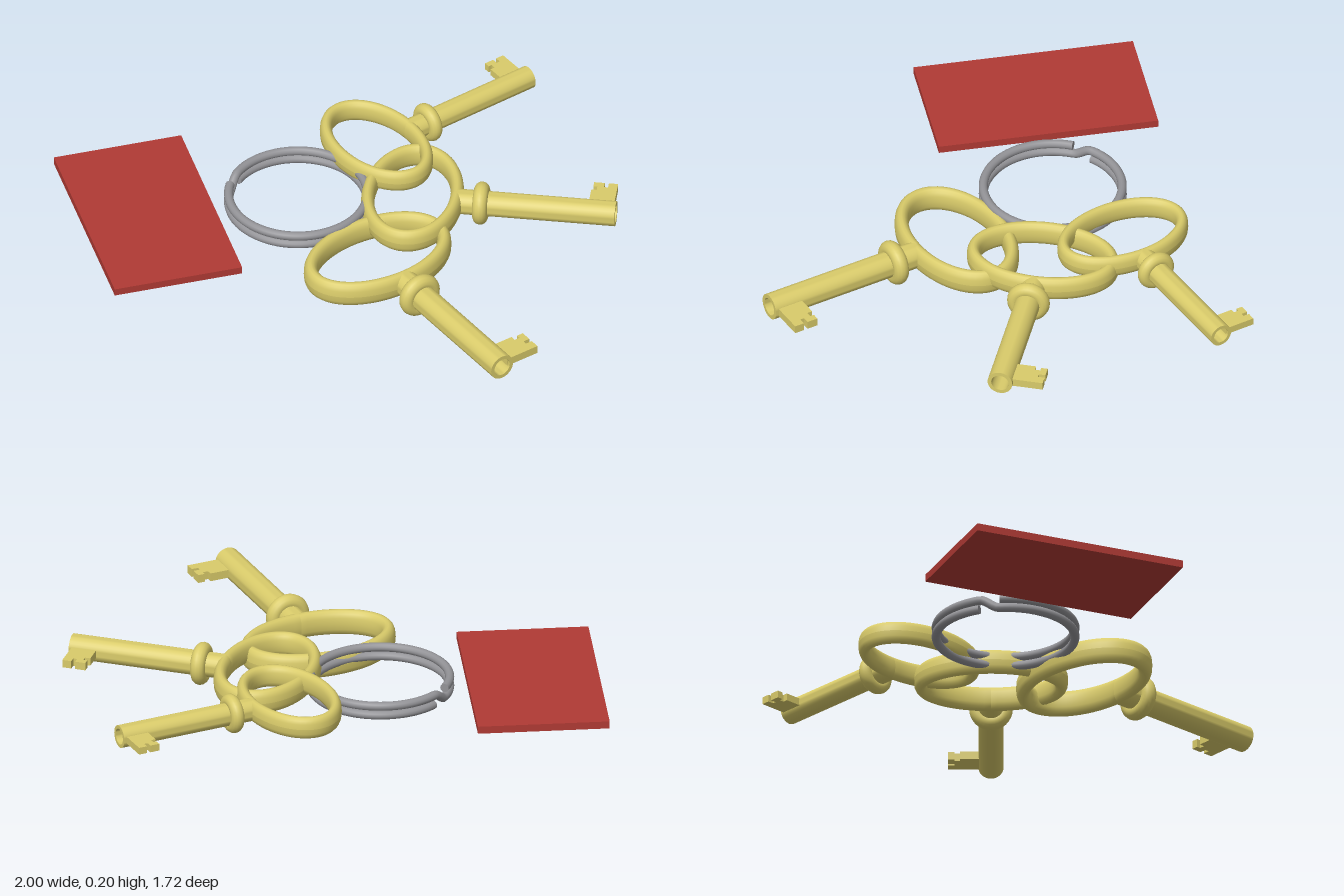
import * as THREE from 'three';
import { toCreasedNormals } from 'three/addons/utils/BufferGeometryUtils.js';

const brass = new THREE.MeshStandardMaterial({ color: 0xd9cb6a });
const steel = new THREE.MeshStandardMaterial({ color: 0x939397 });
const red = new THREE.MeshStandardMaterial({ color: 0xb03a34 });
brass.name = 'brass';
steel.name = 'steel';
red.name = 'red';

function mesh(name, geometry, material) {
  const m = new THREE.Mesh(geometry, material);
  m.name = name;
  return m;
}

// Oval handle: a torus bent onto an ellipse, with a tall rounded section
function bowGeometry() {
  const a = 0.165, b = 0.262, t = 0.025, h = 0.047;
  const geo = new THREE.TorusGeometry(1, t, 16, 64);
  const p = geo.attributes.position;
  for (let i = 0; i < p.count; i++) {
    const x = p.getX(i), y = p.getY(i), z = p.getZ(i);
    const u = Math.atan2(y, x), d = Math.hypot(x, y) - 1;
    const n = new THREE.Vector2(b * Math.cos(u), a * Math.sin(u)).normalize();
    const k = Math.sign(z) * Math.pow(Math.min(1, Math.abs(z) / t), 0.8);
    p.setXYZ(i, a * Math.cos(u) + n.x * d, b * Math.sin(u) + n.y * d, k * h);
  }
  geo.rotateX(Math.PI / 2);
  geo.computeVertexNormals();
  return geo;
}

// Round shaft with a bored tip, turned to point along +x
function shaftGeometry() {
  const profile = [[0, 0.165], [0.047, 0.165], [0.047, 0.762], [0.033, 0.762], [0.033, 0.64], [0, 0.64]];
  const geo = new THREE.LatheGeometry(profile.map(([r, y]) => new THREE.Vector2(r, y)), 32);
  geo.rotateZ(-Math.PI / 2);
  return toCreasedNormals(geo, 0.6);
}

// Bulging collar around the shaft
function collarGeometry() {
  const geo = new THREE.TorusGeometry(0.053, 0.028, 14, 32);
  return geo.rotateY(Math.PI / 2).translate(0.257, 0, 0);
}

// Notched plate beside the tip
function bitGeometry() {
  const outline = [[0.655, 0.03], [0.75, 0.03], [0.75, 0.16], [0.715, 0.16], [0.715, 0.135],
    [0.7, 0.135], [0.7, 0.16], [0.66, 0.16], [0.66, 0.135], [0.675, 0.135], [0.675, 0.115], [0.655, 0.115]];
  const shape = new THREE.Shape(outline.map(([x, y]) => new THREE.Vector2(x, y)));
  const geo = new THREE.ExtrudeGeometry(shape, { depth: 0.03, bevelEnabled: false });
  return geo.translate(0, 0, -0.015).rotateX(-Math.PI / 2);
}

const bow = bowGeometry(), shaft = shaftGeometry(), collar = collarGeometry(), bit = bitGeometry();

function makeKey(name, x, y, z, angle, scale) {
  const key = new THREE.Group();
  key.name = name;
  key.add(mesh('bow', bow, brass), mesh('shaft', shaft, brass), mesh('collar', collar, brass), mesh('bit', bit, brass));
  key.position.set(x, y, z);
  key.rotation.y = angle;
  key.scale.setScalar(scale);
  return key;
}

// Two flat coils joined by a short step
class SplitRingCurve extends THREE.Curve {
  getPoint(t, target = new THREE.Vector3()) {
    const turn = 0.15 + t * (4 * Math.PI - 0.3);
    const rise = THREE.MathUtils.smoothstep(turn, 2 * Math.PI - 0.14, 2 * Math.PI + 0.14);
    const angle = Math.PI + 0.2 + turn;
    return target.set(0.244 * Math.cos(angle), 0.091 + 0.034 * rise, 0.244 * Math.sin(angle));
  }
}

function makeSplitRing() {
  const ring = new THREE.Group();
  ring.name = 'splitRing';
  const curve = new SplitRingCurve();
  ring.add(mesh('ringWire', new THREE.TubeGeometry(curve, 200, 0.016, 12), steel));
  // Caps on both wire ends
  for (const [t, side] of [[0, -1], [1, 1]]) {
    const cap = mesh('wireEnd', new THREE.CircleGeometry(0.016, 12), steel);
    cap.position.copy(curve.getPoint(t));
    cap.lookAt(cap.position.clone().addScaledVector(curve.getTangent(t), side));
    ring.add(cap);
  }
  ring.position.set(-0.12, 0, 0.015);
  return ring;
}

export function createModel() {
  const model = new THREE.Group();
  model.name = 'keyRing';

  // Flat tag
  const tag = mesh('tag', new THREE.BoxGeometry(0.465, 0.027, 0.785), red);
  tag.position.set(-0.623, 0.108, 0.203);
  tag.rotation.y = 0.44;
  model.add(tag, makeSplitRing());

  // Three keys fanned out, smallest at the back
  model.add(
    makeKey('backKey', 0.108, 0.13, -0.296, 0.795, 0.87),
    makeKey('middleKey', 0.277, 0.107, -0.05, 0.035, 0.945),
    makeKey('frontKey', 0.207, 0.082, 0.28, -0.796, 1)
  );
  return model;
}
